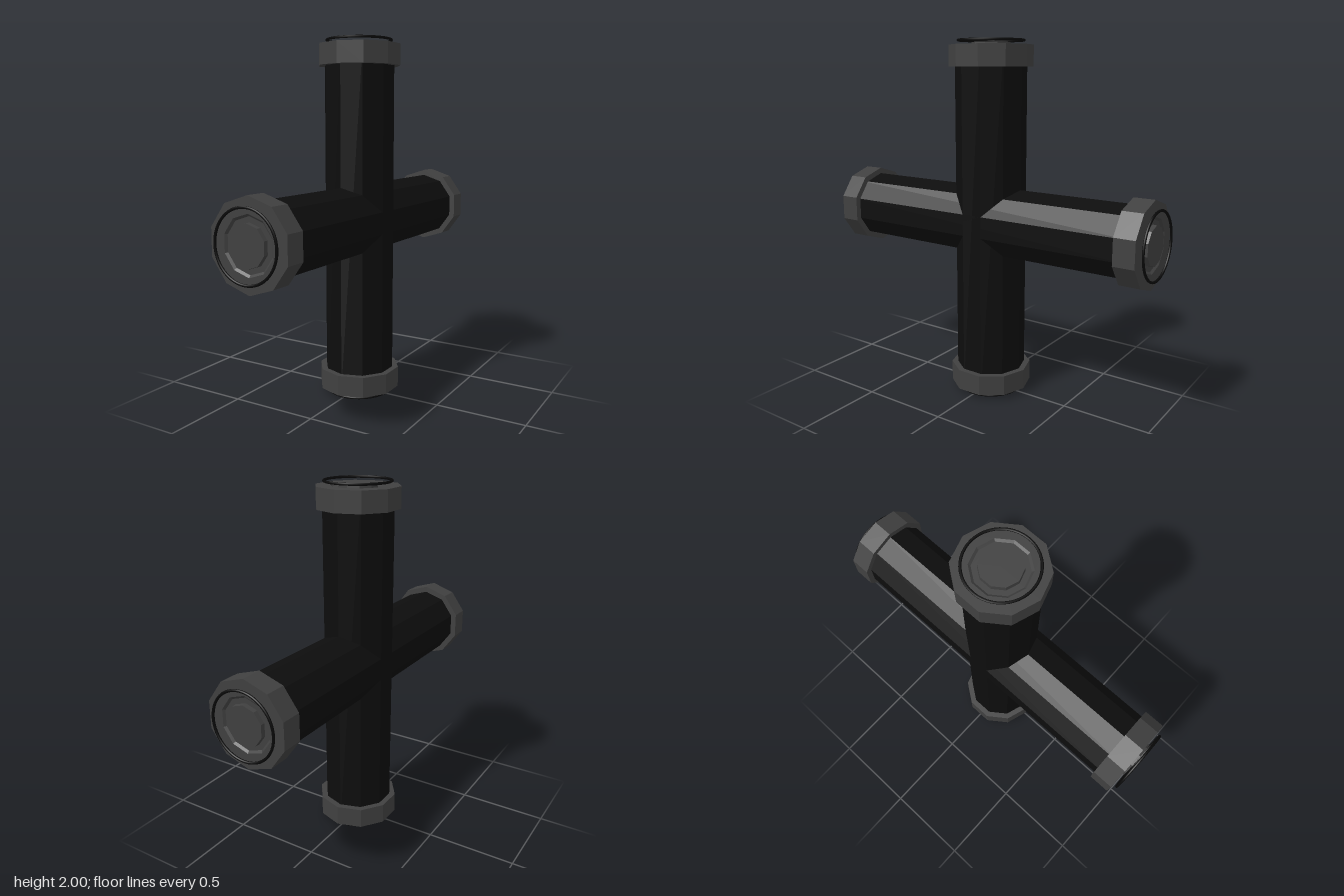
import * as THREE from 'three';

const SIDES = 10;
const pipeMat = new THREE.MeshStandardMaterial({ color: 0x0d0d0d, flatShading: true });
const collarMat = new THREE.MeshStandardMaterial({ color: 0x404040, flatShading: true });
const ringMat = new THREE.MeshStandardMaterial({ color: 0x080808 });

function part(name, geometry, material) {
  const mesh = new THREE.Mesh(geometry, material);
  mesh.name = name;
  return mesh;
}

// One end of the cross, pointing along +y from the centre
function makeEnd() {
  const end = new THREE.Group();

  // Ten-sided collar with a shallow groove around a raised centre boss
  const profile = [
    [0.19, 0.855], [0.23, 0.855], [0.23, 0.97], [0.147, 0.97], [0.135, 0.96],
    [0.107, 0.96], [0.105, 0.983], [0, 0.983],
  ].map(([r, y]) => new THREE.Vector2(r, y));
  end.add(part('collar', new THREE.LatheGeometry(profile, SIDES), collarMat));

  // Thin round ring hovering just off the collar face
  const ring = new THREE.TorusGeometry(0.178, 0.007, 8, 48);
  ring.rotateX(Math.PI / 2).translate(0, 0.993, 0);
  end.add(part('endRing', ring, ringMat));
  return end;
}

export function createModel() {
  const model = new THREE.Group();
  model.name = 'pipeCross';
  const cross = new THREE.Group();
  cross.name = 'cross';
  cross.position.y = 1;
  model.add(cross);

  // Two crossing pipes
  ['verticalPipe', 'horizontalPipe'].forEach((name, i) => {
    const pipe = part(name, new THREE.CylinderGeometry(0.196, 0.196, 1.9, SIDES), pipeMat);
    pipe.rotation.x = i * Math.PI / 2;
    cross.add(pipe);
  });

  // Collared ends on all four arms
  ['topEnd', 'frontEnd', 'bottomEnd', 'backEnd'].forEach((name, i) => {
    const end = makeEnd();
    end.name = name;
    end.rotation.x = i * Math.PI / 2;
    cross.add(end);
  });
  return model;
}
